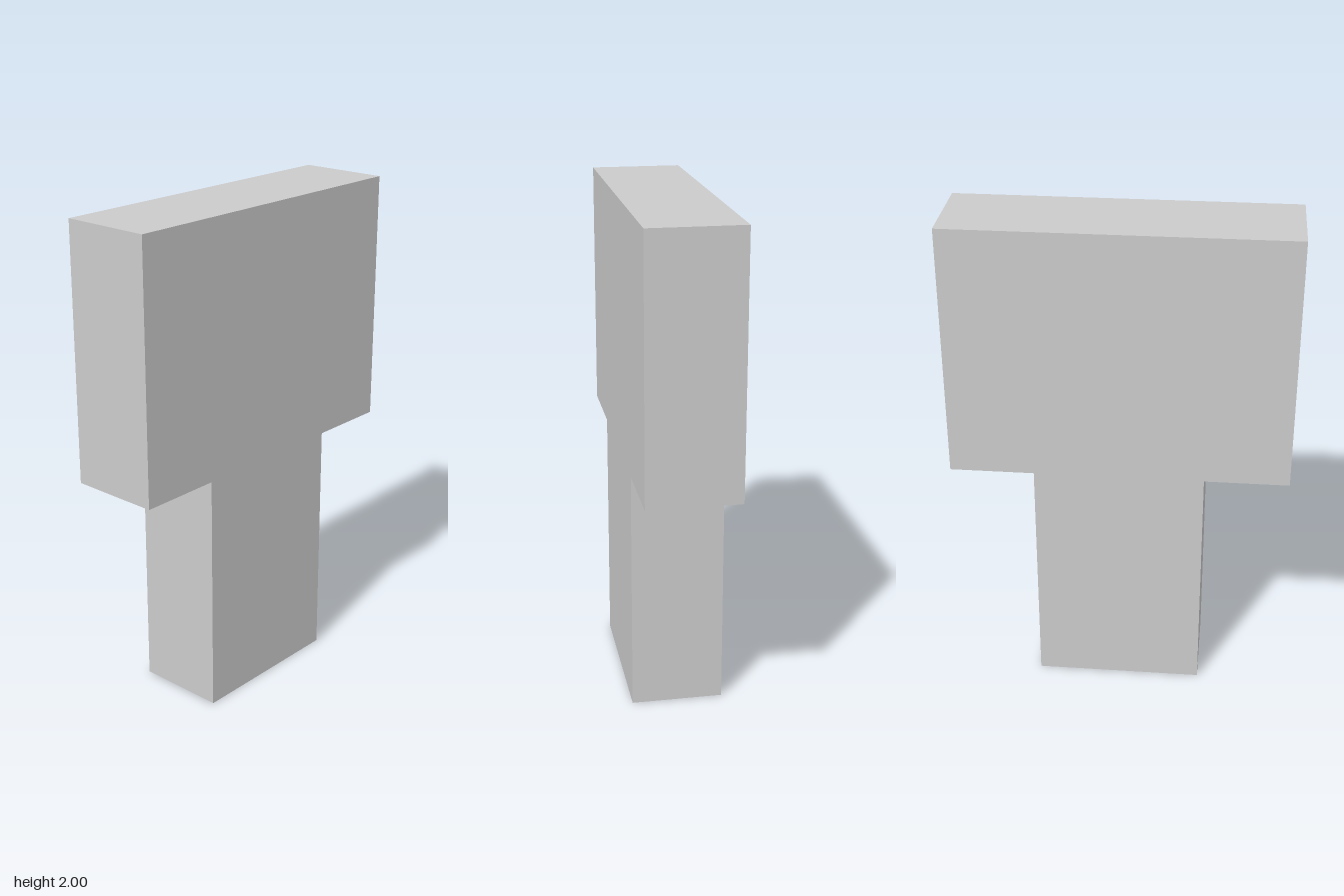
import * as THREE from 'three';

const HEAD = 0.672, STEM = 0.337; // half widths
const SHELF = 0.983, TOP = 2, DEPTH = 0.366;

export function createModel() {
  const group = new THREE.Group();
  group.name = 'tBlock';

  // T-shaped outline: right half, then mirrored left half
  const half = [[STEM, 0], [STEM, SHELF], [HEAD, SHELF], [HEAD, TOP]];
  const mirrored = half.map(([x, y]) => [-x, y]).reverse();
  const outline = [...half, ...mirrored].map(([x, y]) => new THREE.Vector2(x, y));

  // One solid slab, centred in depth
  const geometry = new THREE.ExtrudeGeometry(new THREE.Shape(outline), { depth: DEPTH, bevelEnabled: false });
  geometry.translate(0, 0, -DEPTH / 2);

  const body = new THREE.Mesh(geometry, new THREE.MeshStandardMaterial({ color: 0xcccccc, flatShading: true }));
  body.name = 'body';
  group.add(body);
  return group;
}
